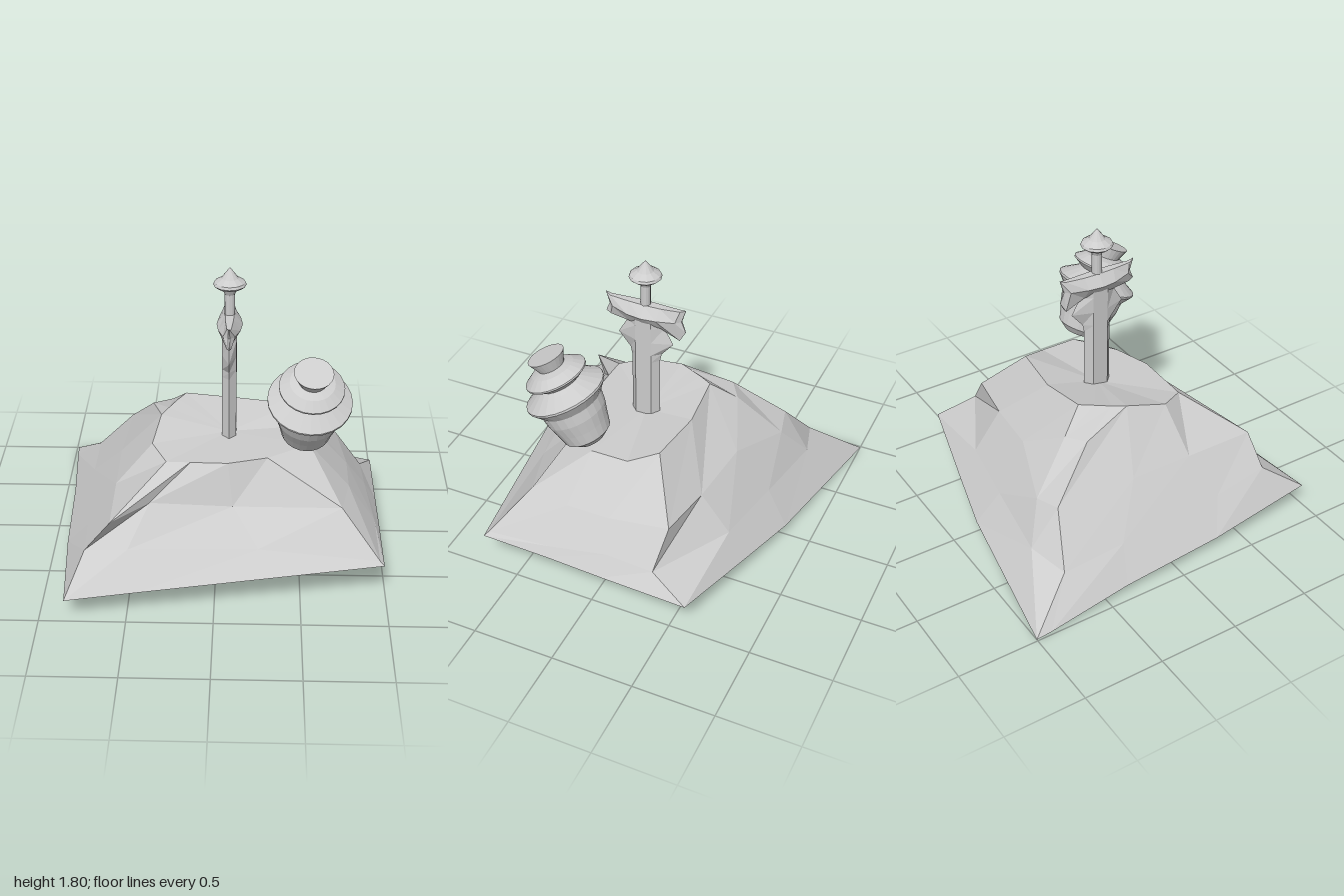
import * as THREE from 'three';

// Skin between closed rings of [x, y, z] points, closed by a fan at each end.
function loft(rings, bottom, top) {
  const pos = [];
  const tri = (a, b, c) => pos.push(...a, ...b, ...c);
  const n = rings[0].length;
  for (let i = 0; i < n; i++) {
    const j = (i + 1) % n;
    for (let r = 0; r + 1 < rings.length; r++) {
      const lo = rings[r], hi = rings[r + 1];
      tri(lo[i], lo[j], hi[j]);
      tri(lo[i], hi[j], hi[i]);
    }
    const first = rings[0], last = rings[rings.length - 1];
    tri(first[j], first[i], bottom);
    tri(last[i], last[j], top);
  }
  const g = new THREE.BufferGeometry();
  g.setAttribute('position', new THREE.Float32BufferAttribute(pos, 3));
  g.computeVertexNormals();
  return g;
}

const lathe = (pts, sides) =>
  new THREE.LatheGeometry(pts.map(([r, y]) => new THREE.Vector2(r, y)), sides);

export function createModel() {
  const model = new THREE.Group();
  const stone = new THREE.MeshStandardMaterial({ color: 0xcccccc, flatShading: true });
  stone.name = 'pale grey';
  const add = (name, geometry, parent = model) => {
    const mesh = new THREE.Mesh(geometry, stone);
    mesh.name = name;
    parent.add(mesh);
    return mesh;
  };

  // Rocky mound: rings walked from the front left corner past +x.
  const foot = [
    [-0.85, 0.14, 1], [-0.45, 0.16, 0.94], [0.2, 0.187, 0.84], [0.985, 0.22, 0.72], [0.985, 0.21, 0.3],
    [0.985, 0.19, -0.06], [0.985, 0.17, -0.59], [0.4, 0.11, -0.74], [0, 0.07, -0.84],
    [-0.99, 0, -1], [-0.985, 0.005, -0.9], [-0.94, 0.05, -0.36], [-0.91, 0.08, 0.3],
  ];
  const slope = [
    [-0.75, 0.32, 0.75], [-0.5, 0.34, 0.77], [0.25, 0.31, 0.7], [0.96, 0.24, 0.7], [0.95, 0.27, 0.3],
    [0.91, 0.31, -0.06], [0.9, 0.28, -0.35], [0.4, 0.27, -0.62], [-0.05, 0.27, -0.7],
    [-0.55, 0.24, -0.77], [-0.8, 0.21, -0.7], [-0.8, 0.24, -0.3], [-0.77, 0.27, 0.4],
  ];
  const shoulder = [
    [-0.6, 0.5, 0.74], [-0.38, 0.54, 0.58], [0.1, 0.48, 0.51], [0.74, 0.48, 0.51], [0.79, 0.48, 0.25],
    [0.79, 0.48, -0.02], [0.74, 0.49, -0.38], [0.4, 0.5, -0.44], [0, 0.55, -0.5],
    [-0.4, 0.45, -0.64], [-0.57, 0.48, -0.6], [-0.6, 0.5, -0.1], [-0.6, 0.5, 0.3],
  ];
  const rim = [
    [-0.29, 0.73, 0.43], [-0.15, 0.73, 0.435], [0.07, 0.73, 0.44], [0.3, 0.73, 0.37], [0.55, 0.73, 0.2],
    [0.55, 0.73, -0.03], [0.47, 0.79, -0.2], [0.12, 0.8, -0.25], [-0.2, 0.84, -0.23],
    [-0.29, 0.72, -0.38], [-0.41, 0.73, -0.3], [-0.34, 0.82, 0.02], [-0.38, 0.76, 0.27],
  ];
  // The summit edge steps in behind a ledge at the back left.
  const summit = rim.map((p) => [...p]);
  summit[9] = [-0.25, 0.835, -0.15];
  summit[10] = [-0.3, 0.825, -0.06];
  add('rockMound', loft([foot, slope, shoulder, rim, summit], [0, 0.11, 0], [0.07, 0.74, 0.07]));

  // Sword planted in the mound, its wide direction along z.
  const sword = new THREE.Group();
  sword.name = 'sword';
  sword.position.set(0.07, 0, 0.07);
  model.add(sword);

  // Blade sections: [height, half width along z]
  const blade = [[0.65, 0.09], [1.13, 0.09], [1.18, 0.1], [1.27, 0.175], [1.37, 0.12], [1.42, 0.11]]
    .map(([y, w]) => [[0, y, w], [0.042, y, 0.05], [0.042, y, -0.05], [0, y, -w], [-0.042, y, -0.05], [-0.042, y, 0.05]]);
  add('blade', loft(blade, [0, 0.65, 0], [0, 1.42, 0]), sword);

  // Crossguard sections: [z, bottom, middle, top, half thickness], notched at the ends
  const guard = [
    [-0.253, 1.38, 1.45, 1.53, 0.006], [-0.22, 1.32, 1.45, 1.52, 0.035], [-0.1, 1.38, 1.45, 1.515, 0.065],
    [0, 1.38, 1.45, 1.515, 0.076], [0.1, 1.38, 1.45, 1.515, 0.065],
    [0.22, 1.39, 1.46, 1.515, 0.035], [0.253, 1.4, 1.46, 1.53, 0.006],
  ].map(([z, lo, mid, hi, w]) => [
    [w, mid, 0.9 * z], [0.35 * w, hi, z], [-0.35 * w, hi, z], [-w, mid, 0.9 * z], [-0.35 * w, lo, z], [0.35 * w, lo, z],
  ]);
  add('crossguard', loft(guard, [0, 1.45, -0.228], [0, 1.46, 0.228]), sword);

  // Grip and pointed pommel
  add('gripAndPommel', lathe([
    [0, 1.48], [0.03, 1.48], [0.03, 1.64], [0.045, 1.67], [0.08, 1.685], [0.097, 1.7],
    [0.09, 1.715], [0.05, 1.74], [0, 1.805],
  ], 12), sword);

  // Lidded jar hovering at a forward tilt, with a small hollow under its foot
  const jar = add('jar', lathe([
    [0, 0.03], [0.045, 0.03], [0.055, 0], [0.09, 0], [0.145, 0.045], [0.163, 0.12], [0.185, 0.2], [0.193, 0.27],
    [0.245, 0.335], [0.245, 0.348], [0.16, 0.4], [0.13, 0.42], [0.188, 0.46], [0.188, 0.47],
    [0.13, 0.51], [0.08, 0.525], [0.113, 0.597], [0, 0.597],
  ], 24));
  jar.position.set(0.52, 0.8, 0.22);
  jar.rotation.set(0.44, 0, -0.05);

  return model;
}
